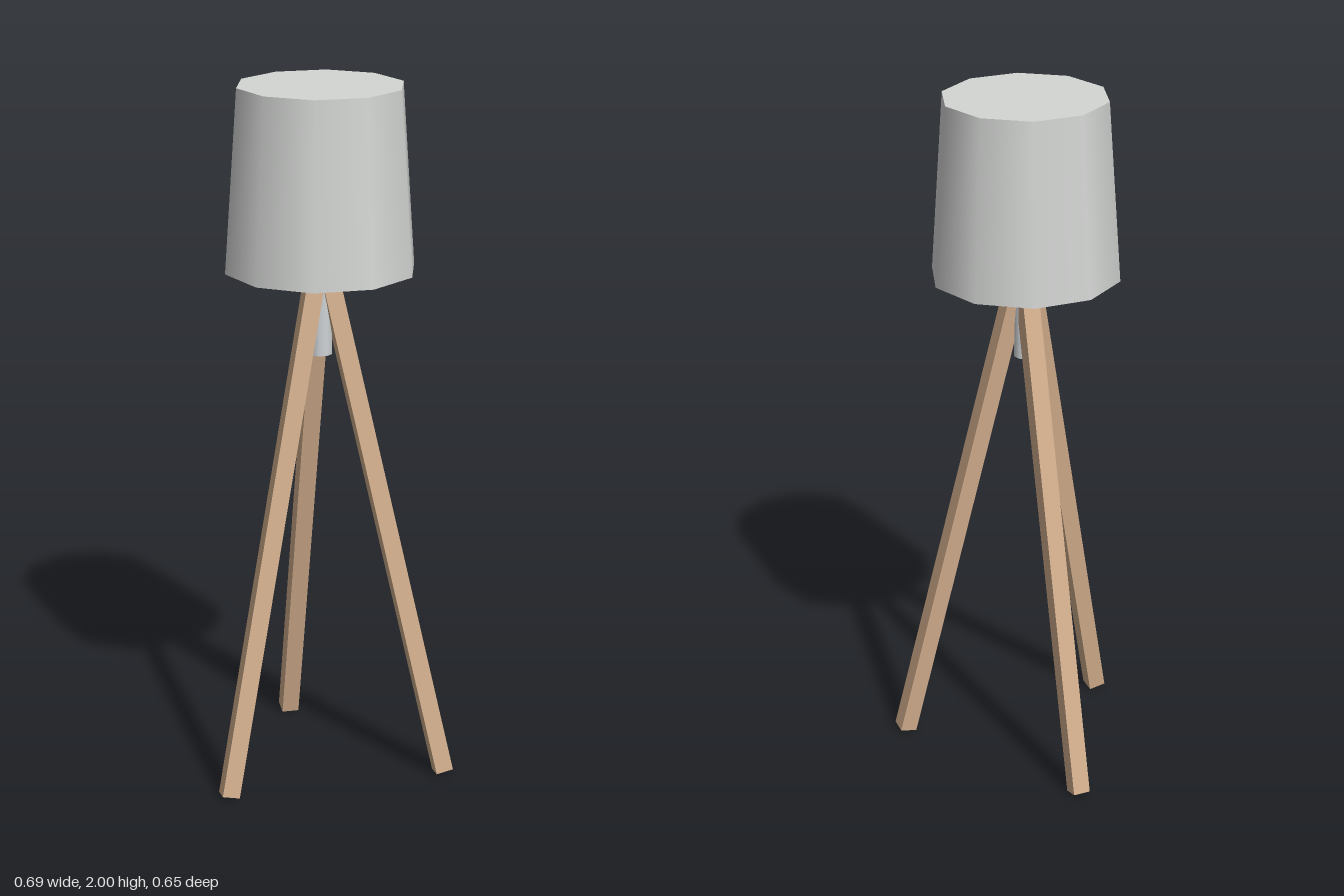
import * as THREE from 'three';

const shadeMat = new THREE.MeshStandardMaterial({ name: 'shadeGrey', color: 0xd4d6d4 });
const socketMat = new THREE.MeshStandardMaterial({ name: 'socketGrey', color: 0xd0d4d7 });
const woodMat = new THREE.MeshStandardMaterial({ name: 'lightWood', color: 0xd4b08e });

const AXIS_X = -0.005, AXIS_Z = 0.066; // vertical axis shared by shade and socket

// Closed ten-sided drum with smooth sides and corners on the x axis
function drum(name, rTop, rBottom, y0, y1, material) {
  const geo = new THREE.CylinderGeometry(rTop, rBottom, y1 - y0, 10, 1, false, Math.PI / 2);
  const mesh = new THREE.Mesh(geo, material);
  mesh.name = name;
  mesh.position.set(AXIS_X, (y0 + y1) / 2, AXIS_Z);
  return mesh;
}

// Square wooden bar leaning from the foot to the top point
function leg(name, foot, top) {
  const a = new THREE.Vector3(...foot), b = new THREE.Vector3(...top);
  const dir = b.clone().sub(a);
  const mesh = new THREE.Mesh(new THREE.BoxGeometry(0.05, dir.length(), 0.05), woodMat);
  mesh.name = name;
  mesh.position.copy(a).add(b).multiplyScalar(0.5);
  mesh.quaternion.setFromUnitVectors(new THREE.Vector3(0, 1, 0), dir.normalize());
  return mesh;
}

export function createModel() {
  const group = new THREE.Group();
  group.name = 'tripodFloorLamp';

  group.add(drum('lampShade', 0.234, 0.27, 1.487, 2, shadeMat));
  group.add(drum('lampSocket', 0.034, 0.034, 1.243, 1.53, socketMat));

  // Legs meet just inside the shade
  group.add(leg('leftFrontLeg', [0.318, 0.008, 0.243], [0.0, 1.54, 0.068]));
  group.add(leg('rightFrontLeg', [-0.32, 0.008, 0.258], [-0.01, 1.54, 0.072]));
  group.add(leg('backLeg', [-0.0125, 0.006, -0.302], [0.0, 1.54, 0.07]));

  return group;
}
